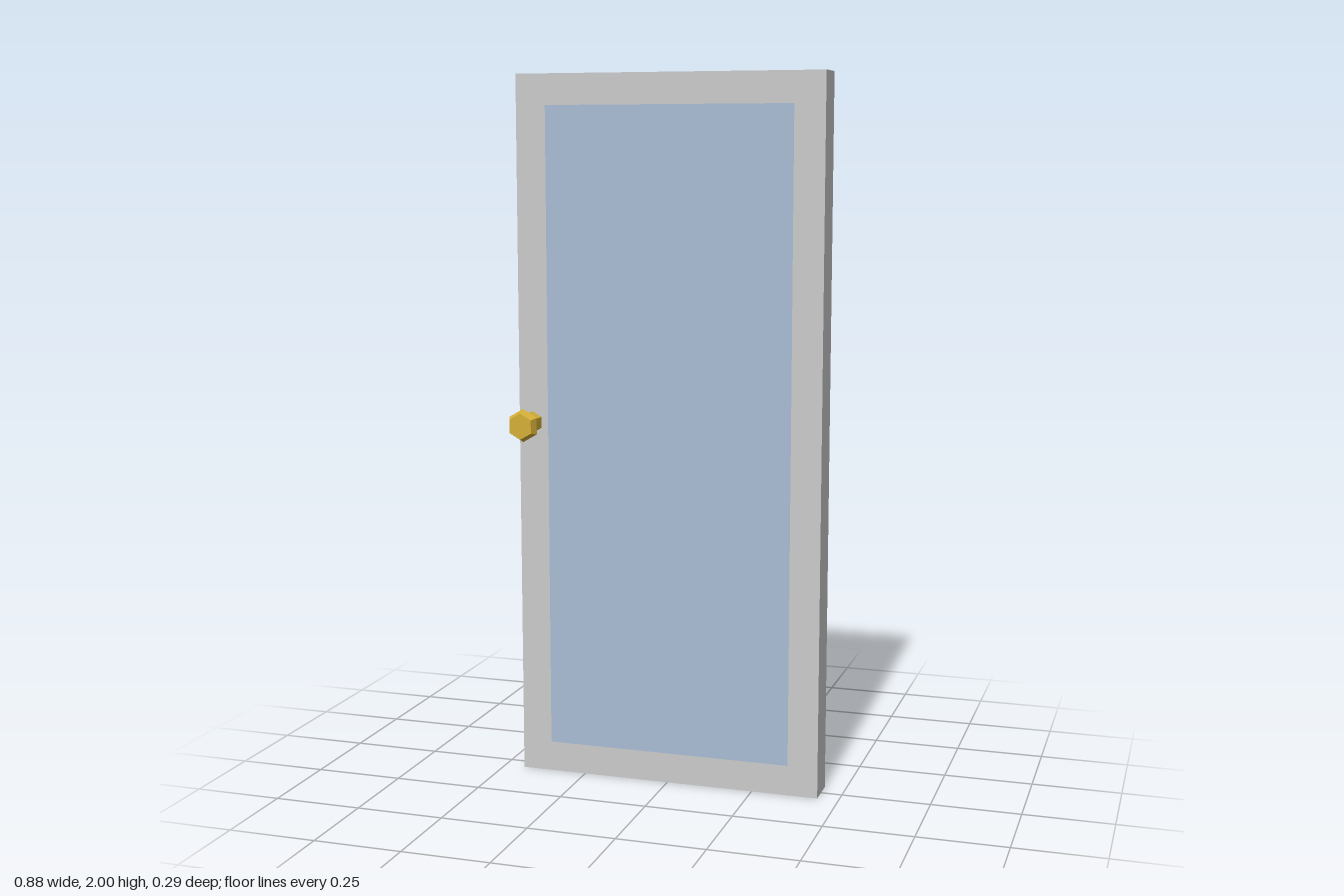
import * as THREE from 'three';

const W = 0.88, H = 2, D = 0.097, BORDER = 0.086;

const material = (color) => new THREE.MeshStandardMaterial({ color, flatShading: true });

function addMesh(parent, name, geometry, mat) {
  const mesh = new THREE.Mesh(geometry, mat);
  mesh.name = name;
  parent.add(mesh);
  return mesh;
}

// Counter-clockwise rectangle outline
const rectangle = (x0, y0, x1, y1) => [
  new THREE.Vector2(x0, y0), new THREE.Vector2(x1, y0),
  new THREE.Vector2(x1, y1), new THREE.Vector2(x0, y1),
];

export function createModel() {
  const door = new THREE.Group();
  door.name = 'door';
  const grey = material(0xcccccc);
  const blue = material(0xaabdd4);
  const brass = material(0xd4af37);

  // Door frame with a rectangular opening
  const outline = new THREE.Shape(rectangle(-W / 2, 0, W / 2, H));
  outline.holes.push(new THREE.Path(
    rectangle(-W / 2 + BORDER, BORDER, W / 2 - BORDER, H - BORDER).reverse()));
  const frame = new THREE.ExtrudeGeometry(outline, { depth: D, bevelEnabled: false });
  frame.translate(0, 0, -D / 2);
  addMesh(door, 'frame', frame, grey);

  // Pane flush with both faces of the frame
  const pane = new THREE.BoxGeometry(W - 2 * BORDER, H - 2 * BORDER, D);
  addMesh(door, 'pane', pane, blue).position.y = H / 2;

  // Six-sided knobs: shaft, flare, taper and flat cap
  const profile = [[0.031, D / 2], [0.031, 0.1], [0.047, 0.12], [0.037, 0.143], [0, 0.143]]
    .map(([r, y]) => new THREE.Vector2(r, y));
  const knob = new THREE.LatheGeometry(profile, 6);
  for (const [name, side] of [['frontKnob', 1], ['backKnob', -1]]) {
    const mesh = addMesh(door, name, knob, brass);
    mesh.rotation.x = side * Math.PI / 2;
    mesh.position.set(-0.401, 1.027, 0);
  }
  return door;
}
